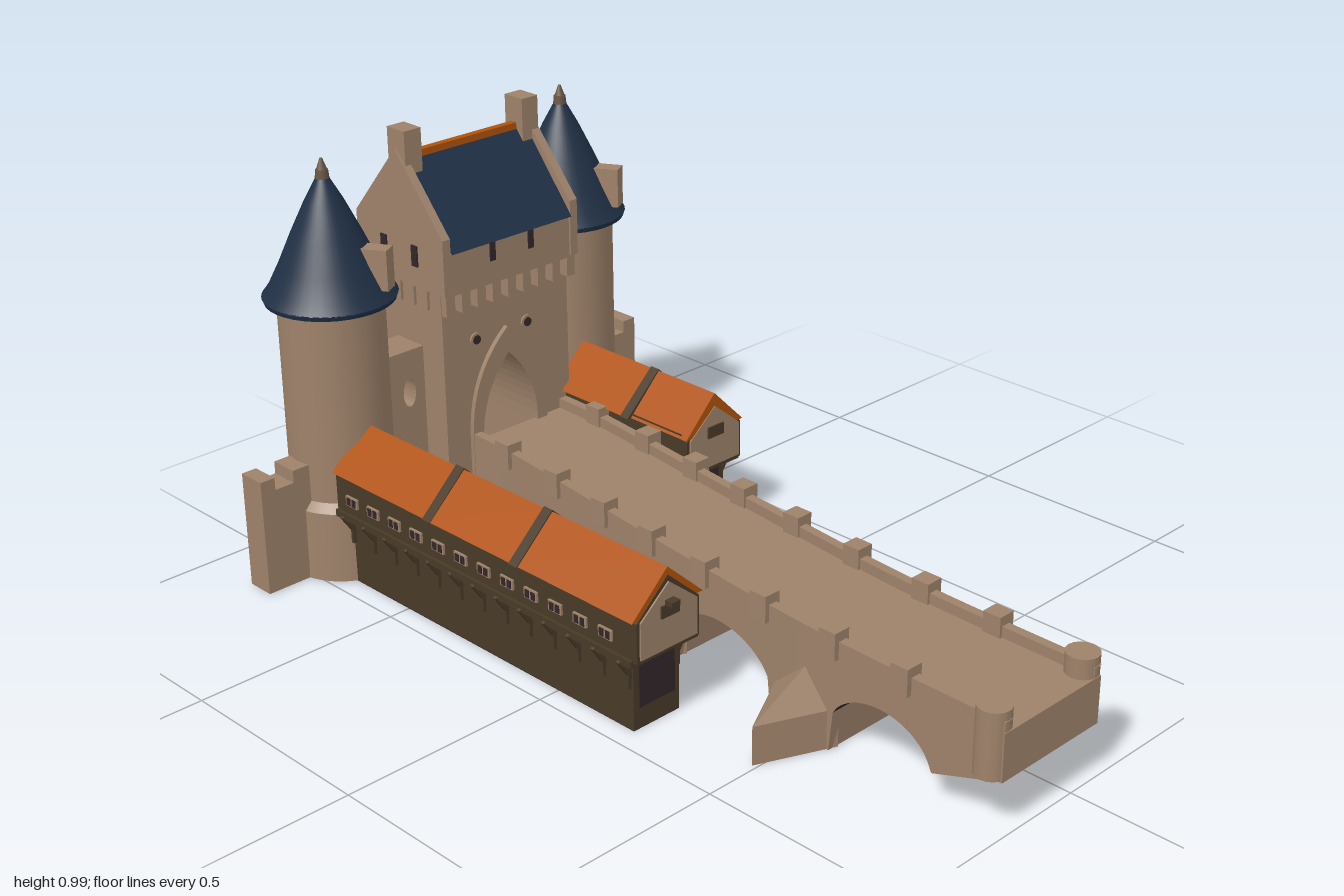
import * as THREE from 'three';
import { ConvexGeometry } from 'three/addons/geometries/ConvexGeometry.js';

const mat = (name, color) => {
  const m = new THREE.MeshStandardMaterial({ color });
  m.name = name;
  return m;
};
const shape = (pts) => new THREE.Shape(pts.map((p) => new THREE.Vector2(...p)));

export function createModel() {
  const stone = mat('stone', 0x9e826a), navy = mat('blue slate', 0x203045), orange = mat('orange tile', 0xb0520a);
  const timber = mat('timber', 0x483a27), dark = mat('dark opening', 0x33262a), brown = mat('weathered stone', 0x6a5645);
  const root = new THREE.Group();
  root.name = 'fortifiedBridge';

  const add = (name, geo, m, parent = root) => {
    const mesh = new THREE.Mesh(geo, m);
    mesh.name = name;
    parent.add(mesh);
    return mesh;
  };
  const group = (name) => {
    const g = new THREE.Group();
    g.name = name;
    root.add(g);
    return g;
  };
  // box given by its limits
  const box = (name, x0, x1, y0, y1, z0, z1, m, parent) => {
    const b = add(name, new THREE.BoxGeometry(x1 - x0, y1 - y0, z1 - z0), m, parent);
    b.position.set((x0 + x1) / 2, (y0 + y1) / 2, (z0 + z1) / 2);
    return b;
  };
  // shape drawn in (-z, y), extruded from x0 to x1
  const alongX = (name, s, x0, x1, m, parent) => {
    const g = new THREE.ExtrudeGeometry(s, { depth: x1 - x0, bevelEnabled: false, curveSegments: 10 });
    const e = add(name, g, m, parent);
    e.rotation.y = Math.PI / 2;
    e.position.x = x0;
  };
  const outline = (pts) => shape(pts.map(([z, y]) => [-z, y]));
  const cyl = (name, x, y0, y1, z, rBottom, rTop, m, parent, n = 36) => {
    const c = add(name, new THREE.CylinderGeometry(rTop, rBottom, y1 - y0, n), m, parent);
    c.position.set(x, (y0 + y1) / 2, z);
    return c;
  };
  // pointed arch path, open at the foot
  const arch = (s, c, w, foot, spring, top) => {
    s.lineTo(c - w, foot);
    s.lineTo(c - w, spring);
    s.quadraticCurveTo(c - w, spring + (top - spring) * 0.62, c, top);
    s.quadraticCurveTo(c + w, spring + (top - spring) * 0.62, c + w, spring);
    s.lineTo(c + w, foot);
  };

  // Bridge: one section swept along a gently bending centre line
  const bridge = group('bridge');
  const line = new THREE.SplineCurve([[-0.7, -0.05], [-0.5, -0.04], [0, 0.02], [0.5, 0.068], [1, 0.077]]
    .map((p) => new THREE.Vector2(...p)));
  const centre = (x) => {
    let lo = 0, hi = 1;
    for (let i = 0; i < 30; i++) {
      const t = (lo + hi) / 2;
      if (line.getPoint(t).x < x) lo = t; else hi = t;
    }
    return line.getPoint(lo).y;
  };
  const arches = [[-0.39, -0.08], [0.08, 0.39], [0.56, 0.83]];
  const soffit = (x) => {
    if (x > 0.825) return 0.07 + (x - 0.825) * 0.34;
    for (const [a, b] of arches) {
      const t = (2 * x - a - b) / (b - a);
      if (Math.abs(t) < 1) return Math.max(x > 0.75 ? 0.07 : 0, 0.055 + 0.1 * Math.sqrt(1 - t * t));
    }
    return 0;
  };
  const H = 0.15, deck = 0.235, top = 0.26;
  const section = (x) => {
    const c = centre(x), b = soffit(x), i = H - 0.022;
    return [[-H, b], [-H, top], [-i, top], [-i, deck], [i, deck], [i, top], [H, top], [H, b]]
      .map(([z, y]) => [x, y, z + c]);
  };
  const walls = [], under = [];
  for (let n = 0; n < 168; n++) {
    const p = section(-0.68 + n * 0.01), q = section(-0.67 + n * 0.01);
    const pierFace = (p[7][1] === 0) !== (q[7][1] === 0);
    p.forEach((a, k) => {
      const j = (k + 1) % 8;
      (k === 7 && !pierFace ? under : walls).push(...a, ...p[j], ...q[j], ...a, ...q[j], ...q[k]);
    });
  }
  for (const [name, pos, m] of [['bridgeWallsAndDeck', walls, stone], ['bridgeSoffit', under, dark]]) {
    const g = new THREE.BufferGeometry();
    g.setAttribute('position', new THREE.Float32BufferAttribute(pos, 3));
    g.computeVertexNormals();
    add(name, g, m, bridge);
  }
  box('bridgeEnd', 0.98, 1, 0.127, deck, 0.077 - H, 0.077 + H, stone, bridge);
  for (const s of [-1, 1]) {
    cyl('endBastion', 0.963, 0.13, 0.28, 0.077 + s * 0.137, 0.036, 0.036, stone, bridge, 16);
    for (const x of [-0.55, -0.36, -0.18, -0.01, 0.17, 0.36, 0.56, 0.75]) {
      const z = centre(x) + s * (H - 0.008);
      box('merlon', x - 0.022, x + 0.022, 0.22, 0.282, z - 0.021, z + 0.021, stone, bridge);
    }
  }
  // Pier cutwaters: a wedge capped by a half pyramid
  for (const [x, s, tip] of [[-0.45, 1, 0.24], [0, 1, 0.28], [0, -1, -0.28], [0.48, 1, 0.37], [0.48, -1, -0.23]]) {
    const z = centre(x) + s * (H - 0.02), w = 0.085;
    const pts = [0, 0.09].flatMap((y) => [[x - w, y, z], [x + w, y, z], [x + 0.01, y, tip]]);
    pts.push([x + 0.01, 0.175, z]);
    add('cutwater', new ConvexGeometry(pts.map((p) => new THREE.Vector3(...p))), stone, bridge);
  }

  // Round towers with flared roofs and dormers
  const tower = (x, z) => {
    const g = group('roundTower');
    cyl('towerFoot', x, 0, 0.17, z, 0.14, 0.138, stone, g);
    cyl('towerFootSlope', x, 0.17, 0.19, z, 0.138, 0.121, stone, g);
    cyl('towerShaft', x, 0.18, 0.655, z, 0.121, 0.121, stone, g);
    cyl('towerEave', x, 0.645, 0.657, z, 0.148, 0.152, navy, g);
    const prof = [[0.152, 0.656], [0.135, 0.68], [0.11, 0.73], [0.079, 0.8], [0.043, 0.875], [0.01, 0.935]];
    add('towerRoof', new THREE.LatheGeometry(prof.map((p) => new THREE.Vector2(...p)), 40), navy, g).position.set(x, 0, z);
    cyl('finialBase', x, 0.915, 0.945, z, 0.017, 0.014, brown, g, 10);
    cyl('finialTip', x, 0.945, 0.97, z, 0.012, 0.003, brown, g, 10);
    const d = box('dormer', x + 0.067, x + 0.133, 0.68, 0.775, z - 0.077, z - 0.037, stone, g);
    d.rotation.y = 0.52;
    for (const y of [0.32, 0.52]) box('towerSlit', x - 0.124, x - 0.118, y, y + 0.055, z - 0.008, z + 0.008, dark, g);
  };
  tower(-0.808, 0.38);
  tower(-0.85, -0.355);

  // Gatehouse body with a pointed passage
  const gate = group('gatehouse');
  const body = new THREE.Shape();
  body.moveTo(-0.17, 0);
  arch(body, 0.013, 0.085, 0, 0.23, 0.435);
  body.lineTo(0.21, 0);
  body.lineTo(0.21, 0.64);
  body.lineTo(-0.17, 0.64);
  alongX('gatehouseBody', body, -0.93, -0.68, stone, gate);
  const frame = new THREE.Shape();
  frame.moveTo(0.128, 0);
  frame.lineTo(0.128, 0.25);
  frame.quadraticCurveTo(0.128, 0.41, 0.013, 0.5);
  frame.quadraticCurveTo(-0.102, 0.41, -0.102, 0.25);
  frame.lineTo(-0.102, 0);
  arch(frame, 0.013, 0.085, 0, 0.23, 0.435);
  alongX('archFrame', frame, -0.942, -0.93, stone, gate);
  alongX('archFrame', frame, -0.68, -0.668, stone, gate);
  const ramp = shape([[-0.93, 0], [-0.67, 0], [-0.67, 0.235], [-0.93, 0.05]]);
  add('gateRamp', new THREE.ExtrudeGeometry(ramp, { depth: 0.17, bevelEnabled: false }), stone, gate).position.z = -0.098;
  box('gatehouseUnderside', -0.93, -0.68, -0.001, 0.001, -0.21, 0.17, dark, gate);
  // corbelled upper storey
  box('upperStorey', -0.955, -0.655, 0.625, 0.74, -0.215, 0.175, stone, gate);
  for (let i = 0; i < 9; i++) {
    const z = -0.203 + i * 0.0458;
    for (const x of [-0.955, -0.68]) box('corbel', x, x + 0.025, 0.578, 0.63, z - 0.012, z + 0.012, stone, gate);
  }
  for (let i = 0; i < 6; i++) {
    const x = -0.925 + i * 0.048;
    for (const z of [-0.217, 0.167]) box('sideCorbel', x - 0.012, x + 0.012, 0.578, 0.63, z, z + 0.01, stone, gate);
  }
  // saddle roof, gables, chimneys
  const roofShape = shape([[-0.965, 0.728], [-0.645, 0.728], [-0.805, 0.925]]);
  add('gatehouseRoof', new THREE.ExtrudeGeometry(roofShape, { depth: 0.36, bevelEnabled: false }), [stone, navy], gate).position.z = -0.2;
  const gableShape = shape([[-0.96, 0.63], [-0.65, 0.63], [-0.65, 0.765], [-0.805, 0.945], [-0.96, 0.765]]);
  for (const [z, c] of [[-0.222, -0.195], [0.16, 0.152]]) {
    const gable = new THREE.ExtrudeGeometry(gableShape, { depth: 0.022, bevelEnabled: false });
    add('gableWall', gable, stone, gate).position.z = z;
    box('chimney', -0.835, -0.775, 0.85, 0.99, c - 0.024, c + 0.024, stone, gate);
    const face = z < 0 ? z - 0.004 : z + 0.022;
    for (const x of [-0.86, -0.75]) box('gableSlit', x - 0.01, x + 0.01, 0.68, 0.73, face, face + 0.004, dark, gate);
  }
  box('roofRidge', -0.814, -0.796, 0.912, 0.93, -0.17, 0.13, orange, gate);
  for (const x of [-0.958, -0.656]) {
    for (const z of [0.035, -0.08]) box('upperSlit', x, x + 0.004, 0.68, 0.728, z - 0.008, z + 0.008, dark, gate);
  }
  for (const s of [-1, 1]) {
    for (const z of [0.075, -0.08]) {
      const rim = cyl('roundWindowRim', -0.805 + s * 0.127, 0.487, 0.493, z, 0.017, 0.017, stone, gate, 16);
      const pane = cyl('roundWindow', -0.805 + s * 0.13, 0.488, 0.492, z, 0.011, 0.011, dark, gate, 16);
      rim.rotation.z = pane.rotation.z = -s * Math.PI / 2;
    }
  }

  // Curtain walls between gatehouse and towers
  const curtain = outline([[0.3, 0], [0.16, 0], [0.16, 0.48], [0.3, 0.48]]);
  curtain.holes.push(new THREE.Path().absellipse(-0.215, 0.375, 0.018, 0.035, 0, Math.PI * 2, true));
  alongX('curtainWall', curtain, -0.845, -0.755, stone);
  box('curtainWall', -0.88, -0.79, 0, 0.48, -0.29, -0.2, stone);

  // Outer walls with merlons; the rear one has a small blind door
  const crest = [[0.628, 0], [0.628, 0.28], [0.59, 0.28], [0.59, 0.25], [0.54, 0.25], [0.54, 0.28], [0.45, 0.28]];
  alongX('outerWall', outline([[0.45, 0], ...crest]), -0.845, -0.775, stone);
  const outer = new THREE.Shape();
  outer.moveTo(0.45, 0);
  arch(outer, 0.513, 0.023, 0, 0.035, 0.072);
  for (const p of crest) outer.lineTo(...p);
  alongX('outerWallWithDoor', outer, -0.965, -0.89, stone);
  box('blindDoor', -0.945, -0.91, 0, 0.08, -0.545, -0.48, stone);

  // Timber houses with jettied upper floors; each roof is a list of [end x, half width]
  const house = (name, x0, x1, zc, roofs) => {
    const g = group(name);
    box('lowerWall', x0 + 0.02, x1 - 0.025, 0, 0.175, zc - 0.065, zc + 0.065, timber, g);
    box('lowerUnderside', x0 + 0.02, x1 - 0.025, -0.001, 0.001, zc - 0.065, zc + 0.065, dark, g);
    box('undercroftOpening', x1 - 0.026, x1 - 0.022, 0.05, 0.165, zc - 0.05, zc + 0.05, dark, g);
    box('jettyFloor', x0, x1, 0.168, 0.185, zc - 0.095, zc + 0.095, timber, g);
    box('upperWall', x0, x1 - 0.008, 0.18, 0.285, zc - 0.088, zc + 0.088, timber, g);
    const count = Math.round((x1 - x0) / 0.078);
    for (let i = 0; i <= count; i++) {
      const x = x0 + 0.026 + (x1 - x0 - 0.06) * i / count;
      for (const s of [-1, 1]) {
        const z = zc + s * 0.067;
        box('post', x - 0.004, x + 0.004, 0.1, 0.17, z - 0.006, z + 0.006, timber, g);
        const b = box('bracket', x - 0.005, x + 0.005, 0.12, 0.18, z + s * 0.012 - 0.005, z + s * 0.012 + 0.005, timber, g);
        b.rotation.x = s * 0.6;
        if (i === count) continue;
        box('windowFrame', x + 0.012, x + 0.052, 0.208, 0.232, zc + s * 0.09 - 0.003, zc + s * 0.09 + 0.003, stone, g);
        for (const o of [0.017, 0.035]) box('windowPane', x + o, x + o + 0.012, 0.211, 0.229, zc + s * 0.092 - 0.003, zc + s * 0.092 + 0.003, dark, g);
      }
    }
    // tiled roof segments with dark bands at the joints
    const slope = (w, k) => outline([[zc - w - k, 0.277], [zc + w + k, 0.277], [zc, 0.37 + k]]);
    let start = x0;
    roofs.forEach(([end, w], i) => {
      alongX('tiledRoof', slope(w, 0), start, end, orange, g);
      if (i < roofs.length - 1) alongX('roofBand', slope(w, 0.004), end - 0.013, end + 0.013, timber, g);
      start = end;
    });
    // framed and plastered end wall
    const gable = (w, foot, peak) => outline([[zc - w, foot], [zc + w, foot], [zc + w, 0.272], [zc, peak], [zc - w, 0.272]]);
    alongX('endFrame', gable(0.088, 0.18, 0.352), x1 - 0.01, x1 + 0.011, timber, g);
    alongX('plasterEnd', gable(0.08, 0.187, 0.338), x1 + 0.008, x1 + 0.015, stone, g);
    box('loftWindow', x1 + 0.012, x1 + 0.019, 0.262, 0.29, zc - 0.025, zc + 0.025, timber, g);
    return g;
  };
  const front = house('frontHouse', -0.71, 0.255, 0.382, [[-0.375, 0.098], [-0.09, 0.1], [0.265, 0.1]]);
  box('hoistBeam', 0.255, 0.29, 0.288, 0.3, 0.37, 0.394, timber, front);
  house('rearHouse', -0.71, -0.275, -0.287, [[-0.46, 0.1], [-0.262, 0.093]]);

  return root;
}
